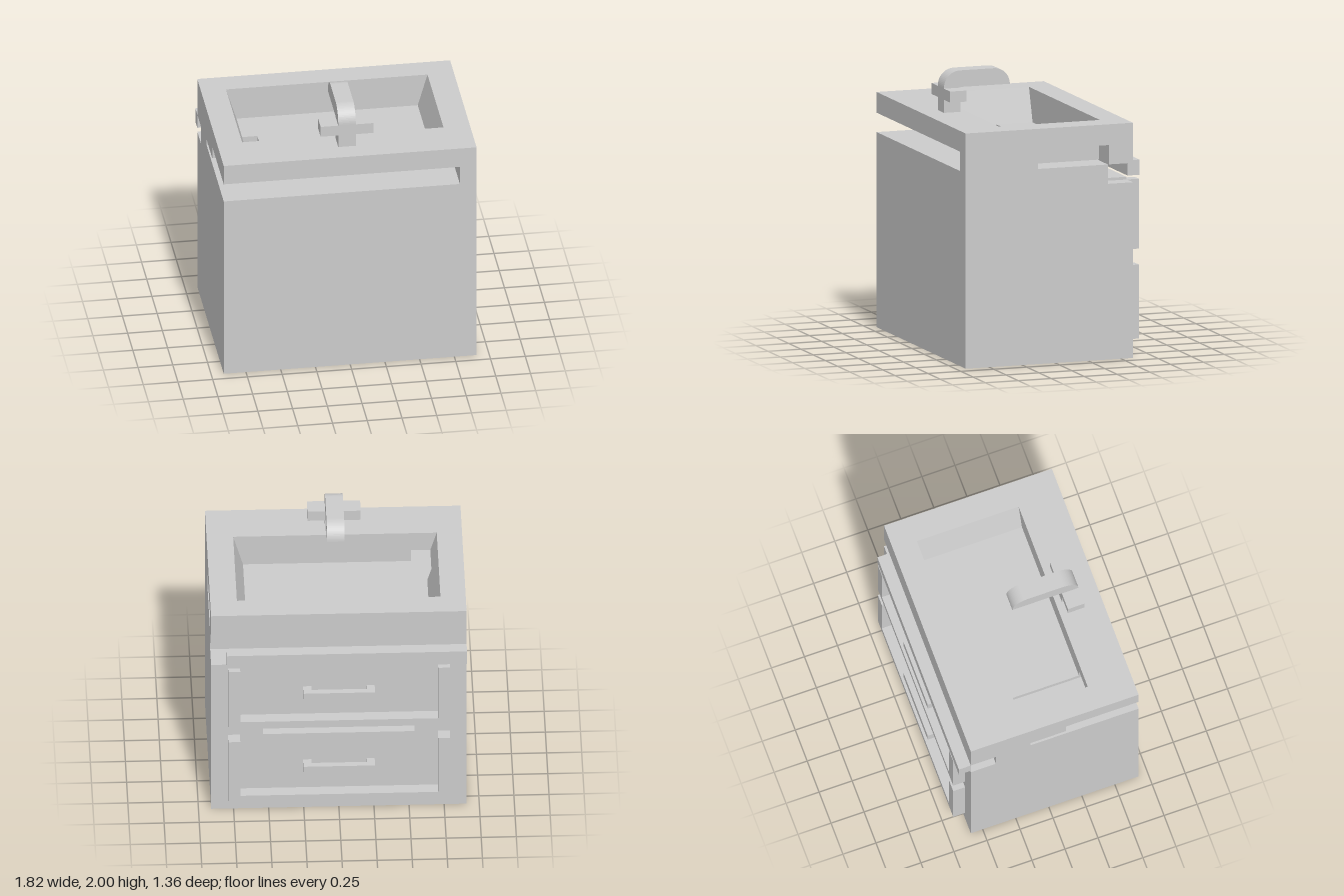
import * as THREE from 'three';

export function createModel() {
  const model = new THREE.Group();
  const material = new THREE.MeshStandardMaterial({ color: 0xcccccc, flatShading: true });

  const add = (name, geometry, parent = model) => {
    const mesh = new THREE.Mesh(geometry, material);
    mesh.name = name;
    parent.add(mesh);
    return mesh;
  };
  const group = (name) => {
    const g = new THREE.Group();
    g.name = name;
    model.add(g);
    return g;
  };
  // Box given by its limits on each axis
  const box = (name, x0, x1, y0, y1, z0, z1, parent) =>
    add(name, new THREE.BoxGeometry(x1 - x0, y1 - y0, z1 - z0)
      .translate((x0 + x1) / 2, (y0 + y1) / 2, (z0 + z1) / 2), parent);
  const toShape = (pts) => new THREE.Shape(pts.map(([x, y]) => new THREE.Vector2(x, y)));
  // x-y section swept from z0 to z1
  const alongZ = (shape, z0, z1) =>
    new THREE.ExtrudeGeometry(shape, { depth: z1 - z0, bevelEnabled: false, curveSegments: 8 })
      .translate(0, 0, z0);
  // z-y section swept from x0 to x1
  const alongX = (shape, x0, x1) => alongZ(shape, -x1, -x0).rotateY(-Math.PI / 2);

  const W = 0.91, F = 0.68, B = -0.59, TOP = 1.7, LOW = 1.41, FLOOR = 1.455, CUT = 1.55;

  // Cabinet body with a step at the upper back and a long recess between the drawers
  const cabinet = group('cabinet');
  const outline = [[F, 0], [F, LOW], [-0.4, LOW], [-0.4, 1.27], [B, 1.27]];
  const recess = [[B, 0.73], [-0.3, 0.73], [-0.3, 0.65], [B, 0.65]];
  const foot = [[B, 0]];
  add('cabinetSide', alongX(toShape([...outline, ...foot]), -W, -0.54), cabinet);
  add('cabinetMiddle', alongX(toShape([...outline, ...recess, ...foot]), -0.54, 0.54), cabinet);
  add('cabinetSide', alongX(toShape([...outline, ...foot]), 0.54, W), cabinet);
  box('stepLedge', -0.79, 0.79, 1.27, 1.29, -0.585, -0.4, cabinet);

  // Countertop: sections across the basin, with slots cut under its sides and front
  const counter = group('countertop');
  const basinWall = [[0.72, TOP], [0.65, FLOOR]];
  const leftWall = [[-0.655, FLOOR], [-0.73, TOP], [-W, TOP]];
  const rightSolid = [[W, LOW], [W, TOP]];
  const rightSlot = [[0.7, LOW], [0.7, CUT], [W, CUT], [W, TOP]];
  box('counterBack', -W, W, LOW, TOP, B, -0.41, counter);
  add('basinRear', alongZ(toShape([
    [-W, LOW], ...rightSlot, ...basinWall, ...leftWall]), -0.41, -0.14), counter);
  add('basinMiddle', alongZ(toShape([
    [-0.545, LOW], ...rightSlot, ...basinWall, [-0.545, FLOOR]]), -0.14, 0.13), counter);
  add('basinMiddleWall', alongZ(toShape([[-W, FLOOR], ...leftWall]), -0.14, 0.13), counter);
  add('basinFront', alongZ(toShape([
    [-0.545, LOW], ...rightSolid, ...basinWall, [-0.545, FLOOR]]), 0.13, 0.36), counter);
  add('basinFrontWall', alongZ(toShape([
    [-W, CUT], [-0.684, CUT], [-0.73, TOP], [-W, TOP]]), 0.13, 0.36), counter);
  add('basinEndWall', alongZ(toShape([
    [-0.545, LOW], ...rightSolid, [-W, TOP], [-W, CUT], [-0.545, CUT]]), 0.36, 0.4), counter);
  add('counterFront', alongZ(toShape([
    [0.79, LOW], ...rightSolid, [-W, TOP], [-W, CUT], [0.79, CUT]]), 0.4, F), counter);

  // Loose rail under the countertop
  box('backRail', -W, 0.8, 1.3, LOW, -0.68, B);

  // Two drawers: U-shaped frame and a bar handle
  for (const [y0, y1, handleY] of [[0.115, 0.65, 0.34], [0.765, 1.27, 0.985]]) {
    const drawer = group('drawer');
    add('drawerFrame', alongZ(toShape([
      [-0.79, y0], [0.79, y0], [0.79, y1], [0.705, y1], [0.705, y0 + 0.06],
      [-0.705, y0 + 0.06], [-0.705, y1], [-0.79, y1]]), -0.68, B), drawer);
    box('handleBar', -0.255, 0.255, handleY, handleY + 0.08, -0.68, -0.635, drawer);
    for (const s of [-1, 1])
      box('handlePost', s * 0.225 - 0.03, s * 0.225 + 0.03, handleY, handleY + 0.08, -0.635, B, drawer);
  }

  // Faucet: stem and spout with rounded ends, and a cross handle
  const faucet = group('faucet');
  const spout = new THREE.Shape();
  spout.moveTo(0.53, TOP);
  spout.lineTo(0.53, 1.88);
  spout.absarc(0.41, 1.88, 0.12, 0, Math.PI / 2, false);
  spout.lineTo(0.15, 2);
  spout.absarc(0.15, 1.88, 0.12, Math.PI / 2, Math.PI, false);
  spout.lineTo(0.405, 1.88);
  spout.lineTo(0.405, TOP);
  add('spout', alongX(spout, -0.063, 0.063), faucet);
  for (const s of [-1, 1])
    box('tapHandle', s * 0.1265 - 0.0635, s * 0.1265 + 0.0635, 1.795, 1.875, 0.405, 0.53, faucet);

  return model;
}
